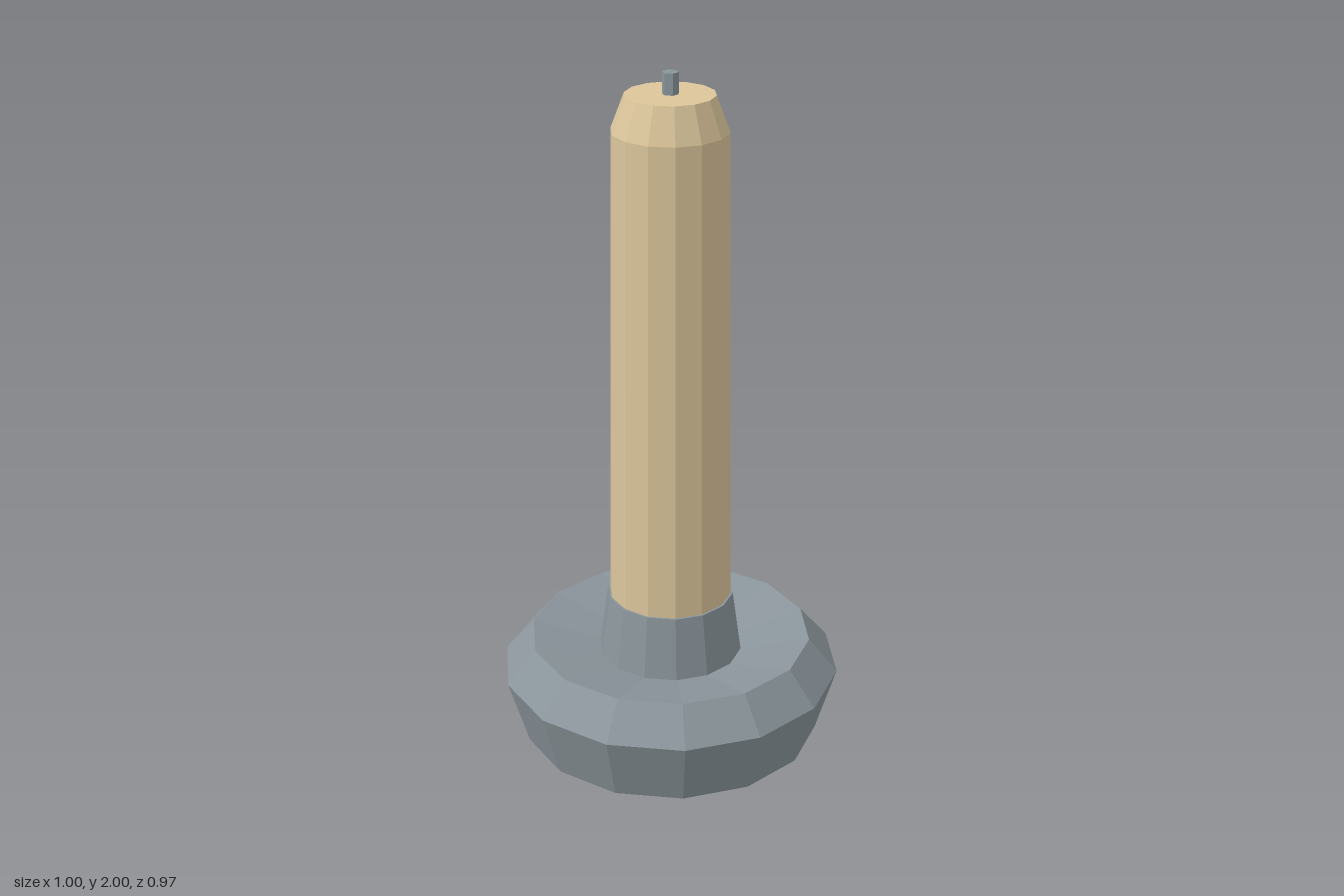
import * as THREE from 'three';

const SIDES = 14;

export function createModel() {
  const group = new THREE.Group();
  const metal = new THREE.MeshStandardMaterial({ color: 0x8a959b, flatShading: true });
  metal.name = 'grey metal';
  const wax = new THREE.MeshStandardMaterial({ color: 0xdbc59b, flatShading: true });
  wax.name = 'tan wax';

  // Turned part from [radius, y] pairs, with corners on the x axis
  const turned = (name, profile, material) => {
    const points = profile.map(([r, y]) => new THREE.Vector2(r, y));
    const mesh = new THREE.Mesh(new THREE.LatheGeometry(points, SIDES, Math.PI / 2), material);
    mesh.name = name;
    group.add(mesh);
  };

  // Flared foot with a bevelled rim and a shallow dish
  turned('base', [[0, 0], [0.44, 0], [0.5, 0.2], [0.415, 0.3], [0.2, 0.25]], metal);

  // Tapered socket rising from the dish
  turned('collar', [[0.212, 0.25], [0.186, 0.44], [0.176, 0.44]], metal);

  // Slightly tapered candle with a chamfered top
  turned('candle', [[0.18, 0.42], [0.163, 1.84], [0.125, 1.94], [0, 1.94]], wax);

  // Short six-sided wick
  const wick = new THREE.Mesh(new THREE.CylinderGeometry(0.023, 0.023, 0.07, 6), metal);
  wick.name = 'wick';
  wick.position.y = 1.965;
  group.add(wick);

  return group;
}
